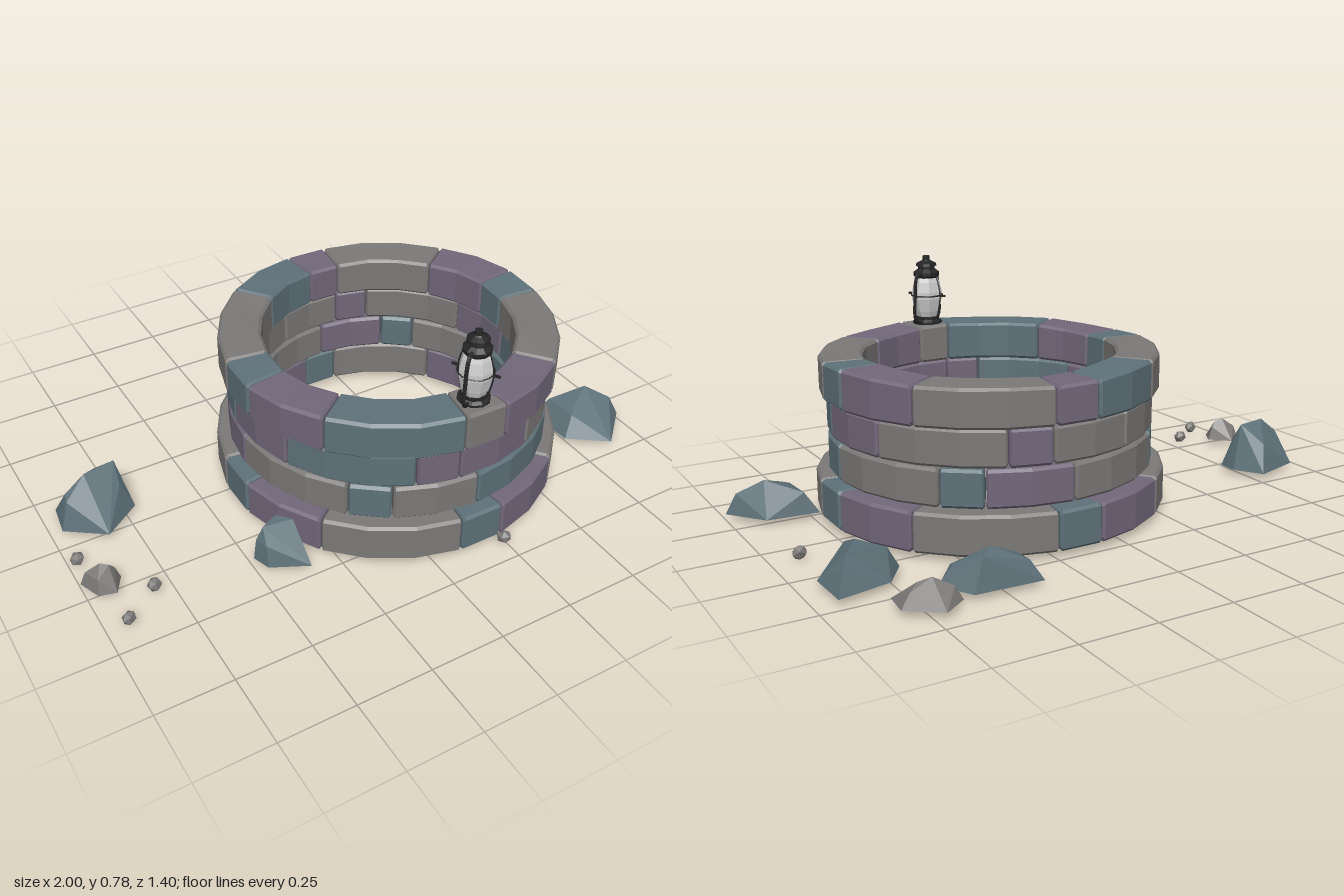
import * as THREE from 'three';
import { ConvexGeometry } from 'three/addons/geometries/ConvexGeometry.js';

const CX = 0.165, CZ = 0.085;
const mat = (color, extra = {}) => new THREE.MeshStandardMaterial({ color, flatShading: true, ...extra });
const MATS = { g: mat(0x7b7977), t: mat(0x5e7179), p: mat(0x71677a) };
const IRON = mat(0x252525);
const GLASS = mat(0xcccccc);

function add(parent, name, geometry, material, x = 0, y = 0, z = 0) {
  const mesh = new THREE.Mesh(geometry, material);
  mesh.name = name;
  mesh.position.set(x, y, z);
  parent.add(mesh);
  return mesh;
}

// Curved stone: a chamfered section swept from angle a0 to a1 (degrees), ends pinched for a bevel
function blockGeometry(a0, a1, rIn, rOut, y0, y1, wobble) {
  const steps = Math.round((a1 - a0) / 15), gap = 0.25, bevel = 0.7, c = 0.009;
  const stops = [[a0 + gap, 1]];
  for (let i = 0; i <= steps; i++) {
    const shift = i === 0 ? gap + bevel : i === steps ? -gap - bevel : 0;
    stops.push([a0 + i * 15 + shift, 0]);
  }
  stops.push([a1 - gap, 1]);
  const pos = [], idx = [], n = 8;
  for (const [deg, pinch] of stops) {
    const a = THREE.MathUtils.degToRad(deg), s = pinch * 0.007;
    const top = y1 - s + wobble * (Math.sin(3 * a + 1) + 0.7 * Math.sin(7 * a));
    const i = rIn + s, o = rOut - s, b = y0 + s;
    const section = [[o - c, b], [o, b + c], [o, top - c], [o - c, top],
      [i + c, top], [i, top - c], [i, b + c], [i + c, b]];
    for (const [r, y] of section) pos.push(r * Math.cos(a), y, -r * Math.sin(a));
  }
  const last = (stops.length - 1) * n;
  for (let k = 0; k < last; k += n) {
    for (let j = 0; j < n; j++) {
      const p = k + j, q = k + (j + 1) % n;
      idx.push(p, p + n, q + n, p, q + n, q);
    }
  }
  for (let j = 1; j < n - 1; j++) idx.push(0, j, j + 1, last, last + j + 1, last + j);
  const geo = new THREE.BufferGeometry();
  geo.setAttribute('position', new THREE.Float32BufferAttribute(pos, 3));
  geo.setIndex(idx);
  geo.computeVertexNormals();
  return geo;
}

// Four courses; each repeats stones of 15, 30 and 45 degrees, one colour letter per stone
const COURSES = [
  { y0: 0.02, y1: 0.15, rIn: 0.45, rOut: 0.58, start: -97.5, wobble: 0.001, colours: 'tpgtpgtpgtpg' },
  { y0: 0.155, y1: 0.277, rIn: 0.435, rOut: 0.539, start: -135, wobble: 0.001, colours: 'tgtptgtpgtpg' },
  { y0: 0.28, y1: 0.4, rIn: 0.435, rOut: 0.538, start: -112.5, wobble: 0.001, colours: 'ppgtpgpggtpt' },
  { y0: 0.403, y1: 0.53, rIn: 0.418, rOut: 0.56, start: -97.5, wobble: 0.004, colours: 'gpgtpgptgtpt' },
];

function buildWell() {
  const well = new THREE.Group();
  well.name = 'well';
  well.position.set(CX, 0, CZ);
  COURSES.forEach((course, k) => {
    const ring = new THREE.Group();
    ring.name = 'stoneCourse' + (k + 1);
    let a = course.start;
    [...course.colours].forEach((key, i) => {
      const span = [15, 30, 45][i % 3];
      add(ring, 'stone', blockGeometry(a, a + span, course.rIn, course.rOut, course.y0, course.y1, course.wobble), MATS[key]);
      a += span;
    });
    well.add(ring);
  });
  return well;
}

// Boulders: ground outline (x, z pairs), then peak points (x, y, z)
const BOULDERS = [
  { m: 't', base: [0.387, -0.645, 0.605, -0.635, 0.664, -0.53, 0.563, -0.4, 0.39, -0.55], peaks: [[0.52, 0.125, -0.57], [0.57, 0.12, -0.62]] },
  { m: 't', base: [0.696, -0.34, 0.765, -0.437, 0.936, -0.475, 0.94, -0.32, 0.82, -0.197, 0.7, -0.25], peaks: [[0.835, 0.135, -0.35], [0.88, 0.125, -0.41]] },
  { m: 'g', base: [0.643, -0.645, 0.72, -0.7, 0.82, -0.625, 0.81, -0.535, 0.675, -0.555], peaks: [[0.72, 0.09, -0.61], [0.76, 0.08, -0.6]] },
  { m: 't', base: [0.73, 0.21, 0.905, 0.225, 1, 0.35, 0.87, 0.47, 0.74, 0.375], peaks: [[0.89, 0.138, 0.28], [0.82, 0.11, 0.32]] },
  { m: 't', base: [-0.965, -0.06, -0.95, -0.17, -0.775, -0.225, -0.715, -0.13, -0.715, -0.06, -0.84, 0.03], peaks: [[-0.86, 0.185, -0.1], [-0.75, 0.183, -0.12], [-0.93, 0.13, -0.1]] },
  { m: 't', base: [-0.49, 0.36, -0.41, 0.285, -0.335, 0.37, -0.35, 0.48, -0.47, 0.42], peaks: [[-0.46, 0.145, 0.37], [-0.36, 0.14, 0.38], [-0.4, 0.145, 0.34]] },
  { m: 'g', base: [-1, 0.195, -0.945, 0.16, -0.88, 0.225, -0.915, 0.285, -0.97, 0.27], peaks: [[-0.94, 0.1, 0.22], [-0.915, 0.09, 0.23]] },
];
const PEBBLES = [[-0.97, 0.085], [-0.805, 0.31], [-0.925, 0.4], [0.245, 0.675], [0.91, -0.095]];

function buildRocks() {
  const rocks = new THREE.Group();
  rocks.name = 'looseRocks';
  for (const { m, base, peaks } of BOULDERS) {
    const points = peaks.map((p) => new THREE.Vector3(...p));
    const [px, py, pz] = peaks[0];
    for (let i = 0; i < base.length; i += 2) {
      const x = base[i], z = base[i + 1];
      points.push(new THREE.Vector3(x, 0.02, z));
      // Alternate corners get a raised shoulder
      if (i % 4 === 0) {
        points.push(new THREE.Vector3(px + (x - px) * 0.72, 0.02 + (py - 0.02) * 0.6, pz + (z - pz) * 0.72));
      }
    }
    add(rocks, 'boulder', new ConvexGeometry(points), MATS[m]);
  }
  PEBBLES.forEach(([x, z], i) => {
    const pebble = add(rocks, 'pebble', new THREE.IcosahedronGeometry(0.025, 0), MATS.g, x, 0.022, z);
    pebble.rotation.set(i, i * 1.7, 0.4);
    pebble.scale.y = 0.85;
  });
  return rocks;
}

const lathe = (pts, sides) => new THREE.LatheGeometry(pts.map((p) => new THREE.Vector2(...p)), sides);

function buildLantern() {
  const lantern = new THREE.Group();
  lantern.name = 'lantern';
  lantern.position.set(0.16, 0.53, 0.57);
  lantern.rotation.y = Math.PI / 6;
  add(lantern, 'lanternBase', lathe([[0, 0], [0.052, 0], [0.052, 0.012], [0.042, 0.02], [0.042, 0.03], [0, 0.03]], 10), IRON);
  add(lantern, 'glass', lathe([[0.036, 0.028], [0.044, 0.05], [0.054, 0.095], [0.054, 0.118], [0.046, 0.155], [0.038, 0.175]], 8), GLASS);
  add(lantern, 'cap', lathe([[0, 0.17], [0.04, 0.17], [0.046, 0.178], [0.046, 0.19], [0.03, 0.202], [0.03, 0.21],
    [0.037, 0.212], [0.035, 0.222], [0.018, 0.23], [0.013, 0.234], [0.013, 0.248], [0, 0.248]], 10), IRON);
  // Wire guard round the glass, with a short tip front and back
  add(lantern, 'guardRing', new THREE.TorusGeometry(0.056, 0.0028, 4, 16), IRON, 0, 0.107, 0).rotation.x = Math.PI / 2;
  for (const s of [-1, 1]) {
    add(lantern, 'guardTip', new THREE.BoxGeometry(0.007, 0.007, 0.024), IRON, 0, 0.107, s * 0.066);
    const guard = [[0.044, 0.03], [0.055, 0.08], [0.057, 0.107], [0.055, 0.13], [0.042, 0.175]];
    const guardPath = new THREE.CatmullRomCurve3(guard.map(([r, y]) => new THREE.Vector3(0, y, s * r)));
    add(lantern, 'guardWire', new THREE.TubeGeometry(guardPath, 8, 0.0025, 4), IRON);
    // Side tube from base to cap
    const side = [[0.03, 0.012], [0.062, 0.014], [0.076, 0.035], [0.074, 0.1], [0.068, 0.16], [0.055, 0.186], [0.03, 0.188]];
    const sidePath = new THREE.CatmullRomCurve3(side.map(([r, y]) => new THREE.Vector3(s * r, y, 0)));
    add(lantern, 'sideTube', new THREE.TubeGeometry(sidePath, 18, 0.0065, 6), IRON);
  }
  return lantern;
}

export function createModel() {
  const model = new THREE.Group();
  model.name = 'stoneWell';
  model.add(buildWell(), buildRocks(), buildLantern());
  return model;
}
